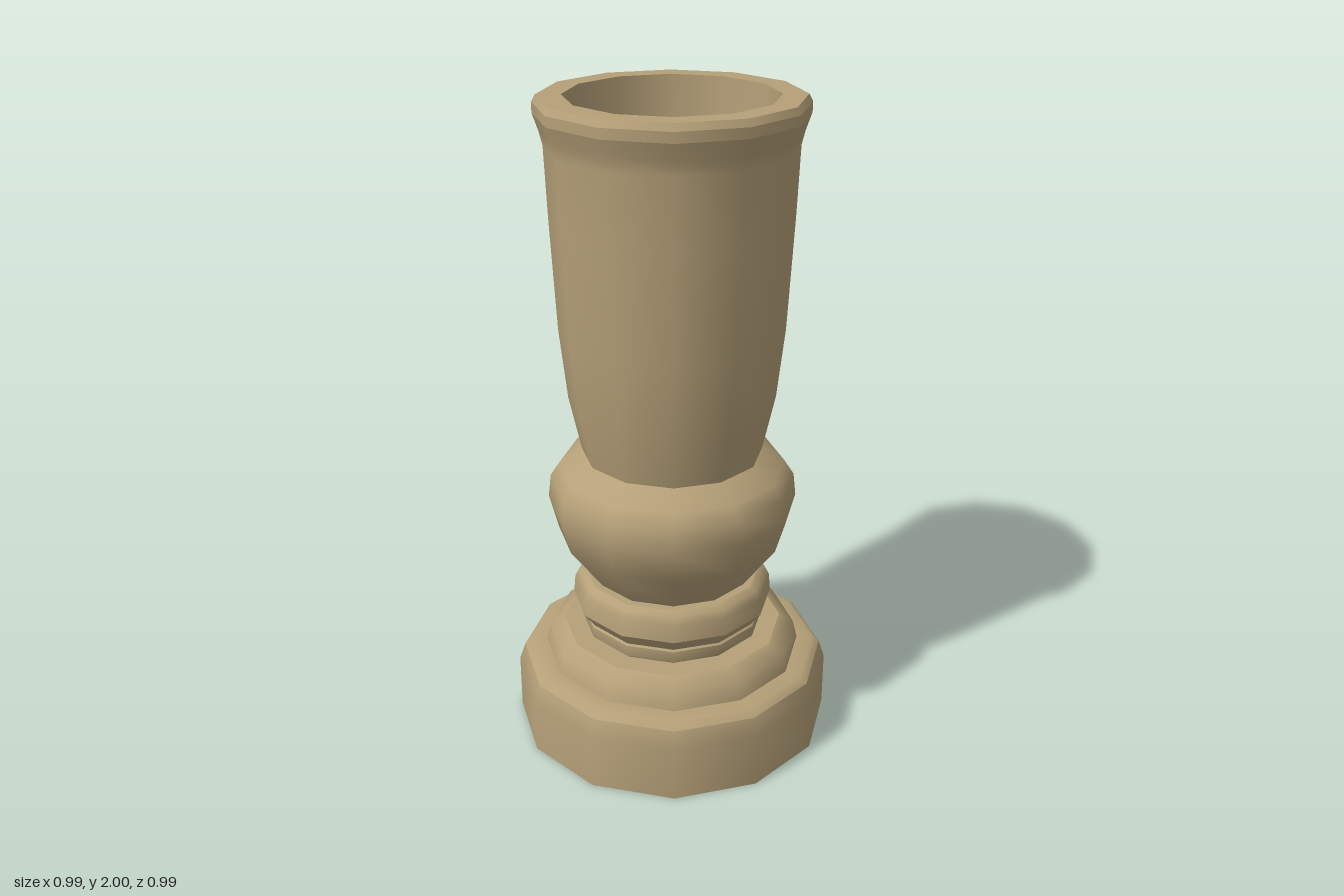
import * as THREE from 'three';

const SIDES = 12;

export function createModel() {
  const model = new THREE.Group();
  model.name = 'turnedVase';
  const material = new THREE.MeshStandardMaterial({ color: 0xb5a078 });

  // Each run of [radius, height] points is smooth; runs meet in a sharp edge.
  function turned(name, ...runs) {
    const part = new THREE.Group();
    part.name = name;
    runs.forEach((run, i) => {
      const points = run.map(([r, y]) => new THREE.Vector2(r, y));
      const mesh = new THREE.Mesh(new THREE.LatheGeometry(points, SIDES), material);
      mesh.name = `${name}Surface${i + 1}`;
      part.add(mesh);
    });
    model.add(part);
  }

  // Wide foot with a softened upper edge
  turned('foot',
    [[0, 0], [0.497, 0]],
    [[0.497, 0], [0.497, 0.175], [0.478, 0.23]],
    [[0.478, 0.23], [0.455, 0.25], [0.405, 0.25]]);

  // Stepped tier above the foot
  turned('baseStep',
    [[0.405, 0.25], [0.39, 0.31], [0.345, 0.335]],
    [[0.345, 0.335], [0.275, 0.335]]);

  // Narrow neck and rounded ring
  turned('neck',
    [[0.275, 0.335], [0.286, 0.345], [0.286, 0.38]],
    [[0.286, 0.38], [0.28, 0.385]]);
  turned('ring',
    [[0.28, 0.385], [0.313, 0.43]],
    [[0.313, 0.43], [0.308, 0.485], [0.295, 0.51], [0.275, 0.52]],
    [[0.275, 0.52], [0.25, 0.52]]);

  // Swollen knop under the cup
  turned('bulb',
    [[0.25, 0.52], [0.355, 0.665], [0.382, 0.77], [0.374, 0.84], [0.345, 0.885], [0.275, 0.93]]);

  // Tall flaring cup wall
  turned('cup',
    [[0.275, 0.93], [0.312, 1.1], [0.335, 1.315], [0.352, 1.65],
      [0.36, 1.86], [0.37, 1.9], [0.387, 1.95]]);

  // Lip
  turned('rim',
    [[0.387, 1.95], [0.387, 1.98]],
    [[0.387, 1.98], [0.376, 2]],
    [[0.376, 2], [0.305, 2]]);

  // Hollow inside of the cup
  turned('cupInside',
    [[0.305, 2], [0.282, 1.4], [0.258, 1.1], [0.217, 0.93]],
    [[0.217, 0.93], [0, 0.93]]);

  return model;
}
